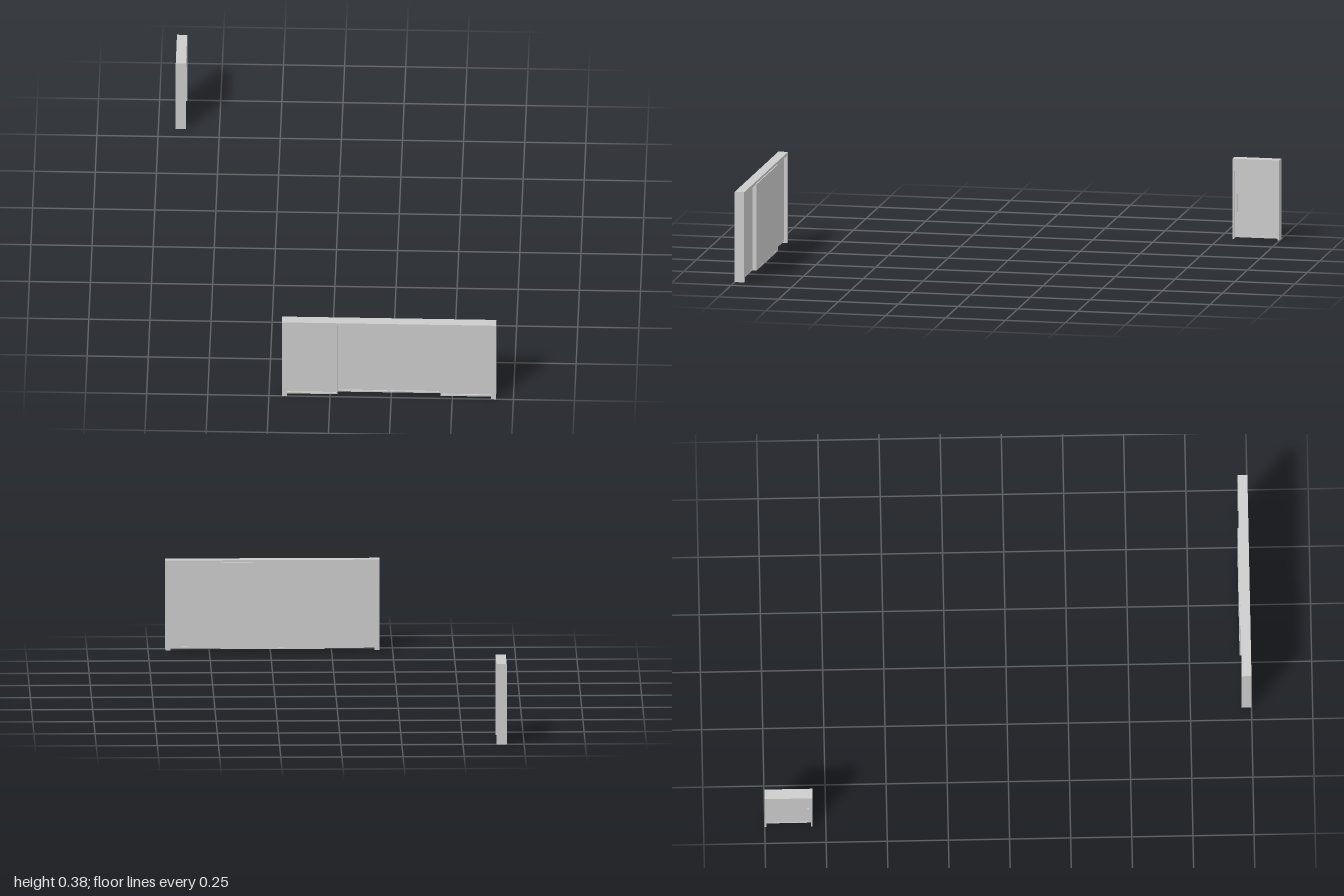
import * as THREE from 'three';

const material = new THREE.MeshStandardMaterial({ color: 0xcccccc });

// Box given by its limits on each axis
function box(parent, name, [x0, x1], [y0, y1], [z0, z1]) {
  const mesh = new THREE.Mesh(new THREE.BoxGeometry(x1 - x0, y1 - y0, z1 - z0), material);
  mesh.name = name;
  mesh.position.set((x0 + x1) / 2, (y0 + y1) / 2, (z0 + z1) / 2);
  parent.add(mesh);
  return mesh;
}

// Rectangular ring facing +z, centred on x, standing on y0
function ring(parent, name, width, y0, y1, border, depth) {
  const w = width / 2, i = w - border;
  const shape = new THREE.Shape([[-w, y0], [w, y0], [w, y1], [-w, y1]].map(p => new THREE.Vector2(...p)));
  shape.holes.push(new THREE.Path([[-i, y0 + border], [-i, y1 - border], [i, y1 - border], [i, y0 + border]]
    .map(p => new THREE.Vector2(...p))));
  const geometry = new THREE.ExtrudeGeometry(shape, { depth, bevelEnabled: false });
  geometry.translate(0, 0, -depth / 2);
  const mesh = new THREE.Mesh(geometry, material);
  mesh.name = name;
  parent.add(mesh);
}

// Open-bottomed surround facing +z: two jambs and a header
function surround(parent, width, height, jamb, header, depth) {
  const w = width / 2, z = [-depth / 2, depth / 2];
  for (const s of [-1, 1]) {
    const x = s < 0 ? [-w, -w + jamb] : [w - jamb, w];
    box(parent, 'jamb', x, [0, height - header], z);
  }
  box(parent, 'header', [-w, w], [height - header, height], z);
}

function slidingDoor() {
  const door = new THREE.Group();
  door.name = 'slidingDoor';
  surround(door, 0.876, 0.376, 0.02, 0.013, 0.04);
  // Four leaves: the middle pair runs on the rear track
  for (let i = 0; i < 4; i++) {
    const leaf = new THREE.Group();
    leaf.name = 'slidingLeaf';
    const rear = i === 1 || i === 2;
    leaf.position.set((i - 1.5) * 0.211, 0, rear ? -0.016 : 0.002);
    ring(leaf, 'leafFrame', 0.213, 0.006, 0.366, 0.007, 0.017);
    box(leaf, 'pane', [-0.1, 0.1], [0.012, 0.36], [-0.008, 0.003]);
    door.add(leaf);
  }
  door.position.set(0.241, 0, 0.98);
  return door;
}

function hingedDoor() {
  const door = new THREE.Group();
  door.name = 'hingedDoor';
  surround(door, 0.196, 0.334, 0.007, 0.05, 0.042);
  // Leaf with raised border
  ring(door, 'leafFrame', 0.182, 0.005, 0.284, 0.008, 0.014);
  box(door, 'leafPanel', [-0.084, 0.084], [0.012, 0.277], [-0.005, 0.005]);
  // Pull handle on both faces
  for (const s of [-1, 1]) {
    box(door, 'handle', [-0.083, -0.077], [0.112, 0.188], s < 0 ? [-0.016, -0.012] : [0.012, 0.016]);
    for (const y of [0.12, 0.18]) {
      box(door, 'handleMount', [-0.082, -0.078], [y - 0.003, y + 0.003], s < 0 ? [-0.013, -0.004] : [0.004, 0.013]);
    }
  }
  // Turned to face +x, handle towards +z
  door.rotation.y = Math.PI / 2;
  door.position.set(-0.658, 0, -0.902);
  return door;
}

export function createModel() {
  const model = new THREE.Group();
  model.name = 'doorSet';
  model.add(slidingDoor(), hingedDoor());
  return model;
}
